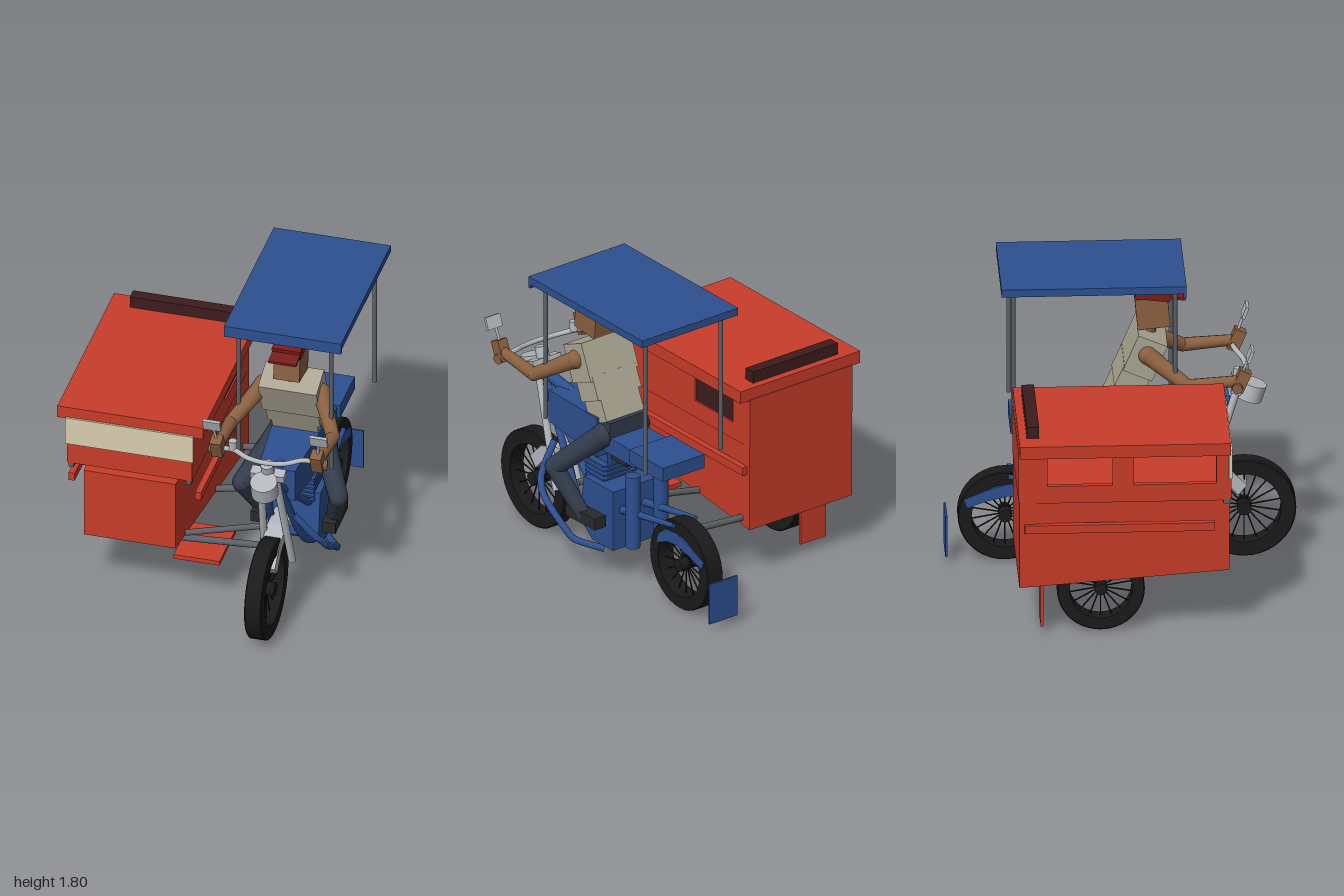
import * as THREE from 'three';

const mat = (color) => new THREE.MeshStandardMaterial({ color });
const RED = mat(0xc83c2a), MAROON = mat(0x3d1c1c), CREAM = mat(0xd8cdb0), BLUE = mat(0x2d5090);
const BLACK = mat(0x1a1a1a), STEEL = mat(0x5c6066), SILVER = mat(0xb4b8be), DARK = mat(0x2a2a2c);
const SKIN = mat(0x8a6040), SHIRT = mat(0xaaa592), JEANS = mat(0x333c4c), CAP = mat(0x7a1c1c);
const CX = 0.45; // centre line of the motorcycle
const V = (p) => new THREE.Vector3(...p);

export function createModel() {
  const root = new THREE.Group();
  root.name = 'sidecarMotorcycle';

  function add(name, geo, material, parent = root) {
    const m = new THREE.Mesh(geo, material);
    m.name = name;
    parent.add(m);
    return m;
  }
  // Box from its extents on each axis
  function box(name, [x0, x1], [y0, y1], [z0, z1], material, tilt = 0) {
    const m = add(name, new THREE.BoxGeometry(x1 - x0, y1 - y0, z1 - z0), material);
    m.position.set((x0 + x1) / 2, (y0 + y1) / 2, (z0 + z1) / 2);
    m.rotation.x = tilt;
  }
  // Box whose corners are moved by a rule
  function shapedBox(name, size, centre, material, rule) {
    const geo = new THREE.BoxGeometry(...size).toNonIndexed();
    const pos = geo.attributes.position;
    for (let i = 0; i < pos.count; i++) {
      const p = new THREE.Vector3().fromBufferAttribute(pos, i);
      rule(p);
      pos.setXYZ(i, p.x, p.y, p.z);
    }
    geo.computeVertexNormals();
    add(name, geo, material).position.set(...centre);
  }
  // Straight round bar between two points
  function bar(name, a, b, r0, material, r1 = r0, sides = 12) {
    const p = V(a), d = V(b).sub(p);
    const m = add(name, new THREE.CylinderGeometry(r1, r0, d.length(), sides), material);
    m.position.copy(p).addScaledVector(d, 0.5);
    m.quaternion.setFromUnitVectors(new THREE.Vector3(0, 1, 0), d.normalize());
  }
  function tube(name, pts, r, material) {
    const curve = new THREE.CatmullRomCurve3(pts.map(V), false, 'centripetal');
    add(name, new THREE.TubeGeometry(curve, 36, r, 10), material);
  }
  function ball(name, p, r, material) {
    add(name, new THREE.SphereGeometry(r, 14, 10), material).position.set(...p);
  }
  // Side outline given as [z, y] points, extruded across x
  function slab(name, shape, x0, x1, material) {
    const geo = new THREE.ExtrudeGeometry(shape, { depth: x1 - x0, bevelEnabled: false });
    add(name, geo.rotateY(-Math.PI / 2), material).position.x = x1;
  }
  const outline = (pts) => new THREE.Shape(pts.map((p) => new THREE.Vector2(...p)));
  // Both sides of the motorcycle
  const both = (fn) => [-1, 1].forEach((s) => fn((o) => CX + s * o));

  // Spoked wheels with flat treads
  function wheel(name, x, y, z, R, w) {
    const g = new THREE.Group();
    g.name = name;
    const h = w / 2, ri = R * 0.71;
    const profile = [[ri, -h], [R - 0.006, -h], [R - 0.006, -h], [R, -h + 0.006], [R, -h + 0.006], [R, h - 0.006],
      [R, h - 0.006], [R - 0.006, h], [R - 0.006, h], [ri, h], [ri, h], [ri, -h]];
    const tyre = new THREE.LatheGeometry(profile.map((p) => new THREE.Vector2(...p)), 40);
    add('tyre', tyre.rotateZ(Math.PI / 2), BLACK, g);
    add('hub', new THREE.CylinderGeometry(R * 0.14, R * 0.14, w * 1.1, 16).rotateZ(Math.PI / 2), BLACK, g);
    for (let i = 0; i < 18; i++) {
      const spoke = new THREE.CylinderGeometry(0.0045, 0.0045, ri * 0.95, 5);
      spoke.translate(0, ri * 0.55, 0).rotateX((i / 18) * Math.PI * 2);
      add('spoke', spoke, BLACK, g);
    }
    g.position.set(x, y, z);
    root.add(g);
  }
  wheel('frontWheel', CX, 0.295, 0.705, 0.295, 0.1);
  wheel('rearWheel', CX, 0.278, -0.655, 0.27, 0.11);
  wheel('sidecarWheel', -0.58, 0.255, -0.16, 0.25, 0.095);

  // Sidecar lower body, tapering over its length towards the front
  shapedBox('sidecarLowerBody', [0.735, 0.53, 1.2], [-0.3925, 0.595, -0.03], RED, (p) => {
    if (p.z < 0) return;
    p.x *= 0.735;
    p.y -= Math.sign(p.y) * 0.047;
  });

  // Sidecar cabin
  box('cabinFloor', [-0.76, -0.025], [0.85, 0.865], [-0.63, 0.57], RED);
  box('cabinFrontWall', [-0.76, -0.025], [0.86, 1.155], [0.535, 0.575], RED);
  box('cabinBackWall', [-0.76, -0.025], [0.86, 1.155], [-0.635, -0.6], RED);
  box('cabinFrontPanel', [-0.77, -0.015], [0.985, 1.16], [0.56, 0.582], CREAM);
  function sideWall(x0, x1, windows) {
    const shape = outline([[-0.62, 0.86], [0.56, 0.86], [0.56, 1.155], [-0.62, 1.155]]);
    for (const [z0, z1] of windows) {
      const hole = new THREE.Path();
      hole.moveTo(z0, 0.955).lineTo(z0, 1.125).lineTo(z1, 1.125).lineTo(z1, 0.955).closePath();
      shape.holes.push(hole);
    }
    slab('cabinSideWall', shape, x0, x1, RED);
  }
  sideWall(-0.76, -0.73, [[-0.47, -0.1], [0.02, 0.49]]);
  sideWall(-0.055, -0.025, [[-0.475, -0.125]]);
  box('windowPane', [-0.05, -0.035], [0.95, 1.13], [-0.48, -0.12], MAROON);
  box('sidecarRoof', [-0.82, 0.04], [1.15, 1.225], [-0.63, 0.57], RED);
  box('roofRearBlock', [-0.695, -0.085], [1.22, 1.295], [-0.585, -0.515], MAROON);
  for (const x of [-0.76, -0.015]) box('sideRail', [x - 0.018, x + 0.018], [0.67, 0.72], [-0.6, 0.48], RED);
  for (const x of [-0.738, -0.045]) box('cabinLatch', [x - 0.015, x + 0.015], [0.825, 0.86], [0.53, 0.57], STEEL);
  box('sidecarMudflap', [-0.67, -0.49], [0.05, 0.36], [-0.505, -0.49], RED);
  box('sidecarStep', [-0.15, 0.12], [0.265, 0.292], [0.16, 0.51], RED);

  // Struts joining sidecar and motorcycle
  bar('frontLowerStrut', [-0.43, 0.32, 0.39], [0.42, 0.37, 0.39], 0.02, STEEL);
  bar('frontUpperStrut', [-0.1, 0.4, 0.43], [0.4, 0.51, 0.38], 0.018, STEEL);
  bar('middleStrut', [-0.1, 0.36, -0.1], [CX, 0.475, -0.1], 0.02, STEEL);
  bar('rearStrut', [-0.4, 0.345, -0.545], [0.38, 0.41, -0.545], 0.02, STEEL);
  bar('wheelAxle', [-0.6, 0.255, -0.16], [-0.38, 0.34, -0.16], 0.022, STEEL);

  // Canopy on four posts
  box('canopyRoof', [0.105, 0.795], [1.755, 1.8], [-0.69, 0.36], BLUE);
  box('canopyFrontLip', [0.105, 0.795], [1.73, 1.8], [0.345, 0.362], BLUE);
  for (const x of [0.175, 0.72]) for (const z of [0.3, -0.62]) {
    bar('canopyPost', [x, 0.905, z], [x, 1.76, z], 0.013, STEEL);
  }

  // Fork, mirrors, headlight and handlebar
  both((X) => {
    bar('forkLeg', [X(0.045), 1.02, 0.66], [X(0.08), 0.335, 0.445], 0.022, SILVER);
    bar('mirrorStem', [X(0.29), 1.17, 0.66], [X(0.31), 1.34, 0.715], 0.008, SILVER);
    box('mirror', [X(0.315) - 0.052, X(0.315) + 0.052], [1.325, 1.4], [0.716, 0.734], SILVER, 0.35);
    bar('grip', [X(0.26), 1.165, 0.665], [X(0.345), 1.16, 0.65], 0.03, SKIN);
  });
  bar('headlight', [CX, 0.96, 0.73], [CX, 1.055, 0.76], 0.078, SILVER, 0.078, 24);
  bar('steeringHead', [CX, 0.98, 0.64], [CX, 1.13, 0.69], 0.038, SILVER);
  box('forkClamp', [0.35, 0.55], [1.02, 1.07], [0.63, 0.69], SILVER, 0.3);
  tube('handlebar', [[0.13, 1.16, 0.65], [0.24, 1.175, 0.66], [0.34, 1.16, 0.7], [CX, 1.155, 0.715],
    [0.56, 1.16, 0.7], [0.66, 1.175, 0.66], [0.77, 1.16, 0.65]], 0.015, SILVER);
  bar('brakeReservoir', [0.24, 1.175, 0.655], [0.24, 1.235, 0.66], 0.024, SILVER);

  // Fenders just wider than the tyres
  slab('frontFender', outline([[0.72, 0.44], [0.62, 0.54], [0.47, 0.585], [0.31, 0.59],
    [0.31, 0.535], [0.46, 0.525], [0.58, 0.475], [0.67, 0.38]]), 0.395, 0.505, SILVER);
  slab('rearFender', outline([[-0.47, 0.41], [-0.54, 0.465], [-0.64, 0.475], [-0.76, 0.44], [-0.89, 0.385],
    [-0.87, 0.335], [-0.75, 0.375], [-0.64, 0.4], [-0.55, 0.39], [-0.45, 0.345]]), 0.39, 0.51, BLUE);
  box('rearMudflap', [0.35, 0.55], [0.05, 0.3], [-0.998, -0.986], BLUE);

  // Tank, narrower and lower at the front, then seats
  shapedBox('fuelTank', [0.3, 0.2, 0.5], [CX, 0.865, 0.23], BLUE, (p) => {
    if (p.z > 0) p.x *= 0.72;
    else p.y += p.y > 0 ? 0.025 : -0.02;
  });
  box('riderSeat', [0.32, 0.58], [0.795, 0.895], [-0.345, 0.02], BLUE);
  box('pillionSeat', [0.3, 0.6], [0.825, 0.91], [-0.63, -0.32], BLUE);
  box('battery', [0.37, 0.53], [0.73, 0.8], [-0.2, -0.06], DARK);

  // Frame, swingarm, shocks and crash bar
  both((X) => {
    tube('downTube', [[X(0.02), 0.98, 0.62], [X(0.05), 0.76, 0.48], [X(0.07), 0.52, 0.34],
      [X(0.09), 0.33, 0.2], [X(0.1), 0.215, 0], [X(0.1), 0.22, -0.17]], 0.022, BLUE);
    bar('cradleTube', [X(0.03), 0.94, 0.6], [X(0.09), 0.53, 0.13], 0.022, BLUE);
    bar('swingArm', [X(0.08), 0.42, 0], [X(0.08), 0.53, -0.64], 0.028, BLUE, 0.014);
    bar('shock', [X(0.1), 0.27, -0.29], [X(0.1), 0.72, -0.29], 0.043, BLUE, 0.043, 16);
  });
  bar('backbone', [CX, 0.98, 0.62], [CX, 0.82, -0.3], 0.035, BLUE);
  tube('crashBar', [[0.54, 0.65, 0.45], [0.665, 0.49, 0.41], [0.69, 0.45, 0.38], [0.703, 0.4, 0.34],
    [0.705, 0.26, 0.13], [0.69, 0.22, 0.08], [0.59, 0.185, -0.08]], 0.02, BLUE);

  // Engine with cooling fins
  slab('engineBlock', outline([[0.14, 0.3], [0.1, 0.58], [-0.17, 0.58], [-0.17, 0.21], [0.02, 0.21]]), 0.3, 0.6, BLUE);
  box('cylinderBarrel', [0.37, 0.53], [0.5, 0.77], [-0.03, 0.1], BLUE);
  for (let i = 0; i < 6; i++) {
    const y = 0.535 + i * 0.028;
    box('coolingFin', [0.33, 0.57], [y, y + 0.012], [-0.045, 0.13], BLUE);
  }

  // Rider: torso, head and cap
  box('upperTorso', [0.278, 0.622], [1.17, 1.4], [0.045, 0.225], SHIRT, 0.4);
  box('midTorso', [0.295, 0.605], [1.07, 1.21], [-0.02, 0.15], SHIRT, 0.42);
  box('lowerTorso', [0.315, 0.585], [0.95, 1.11], [-0.065, 0.1], SHIRT, 0.42);
  box('hips', [0.315, 0.585], [0.88, 0.99], [-0.12, 0.03], JEANS);
  bar('neck', [CX, 1.35, 0.15], [CX, 1.46, 0.175], 0.045, SKIN);
  box('head', [0.373, 0.527], [1.43, 1.615], [0.088, 0.275], SKIN, -0.09);
  box('nose', [0.433, 0.467], [1.5, 1.545], [0.258, 0.277], SKIN, -0.09);
  box('capCrown', [0.365, 0.535], [1.605, 1.66], [0.082, 0.283], CAP, 0.12);
  box('capBrim', [0.368, 0.532], [1.607, 1.622], [0.26, 0.37], CAP, 0.12);

  // Rider: arms and legs
  both((X) => {
    ball('shoulder', [X(0.17), 1.305, 0.15], 0.055, SKIN);
    bar('upperArm', [X(0.17), 1.305, 0.15], [X(0.3), 1.165, 0.37], 0.052, SKIN, 0.04);
    ball('elbow', [X(0.3), 1.165, 0.37], 0.04, SKIN);
    bar('forearm', [X(0.3), 1.165, 0.37], [X(0.295), 1.19, 0.65], 0.04, SKIN, 0.032);
    box('hand', [X(0.295) - 0.033, X(0.295) + 0.033], [1.13, 1.26], [0.64, 0.71], SKIN, 0.4);
    ball('hipJoint', [X(0.12), 0.89, -0.05], 0.072, JEANS);
    bar('thigh', [X(0.12), 0.89, -0.05], [X(0.285), 0.645, 0.2], 0.07, JEANS, 0.057);
    ball('knee', [X(0.285), 0.645, 0.2], 0.056, JEANS);
    bar('shin', [X(0.285), 0.645, 0.2], [X(0.205), 0.36, 0.01], 0.056, JEANS, 0.044);
    box('boot', [X(0.21) - 0.04, X(0.21) + 0.04], [0.35, 0.42], [-0.13, 0.14], DARK, 0.03);
  });
  return root;
}
